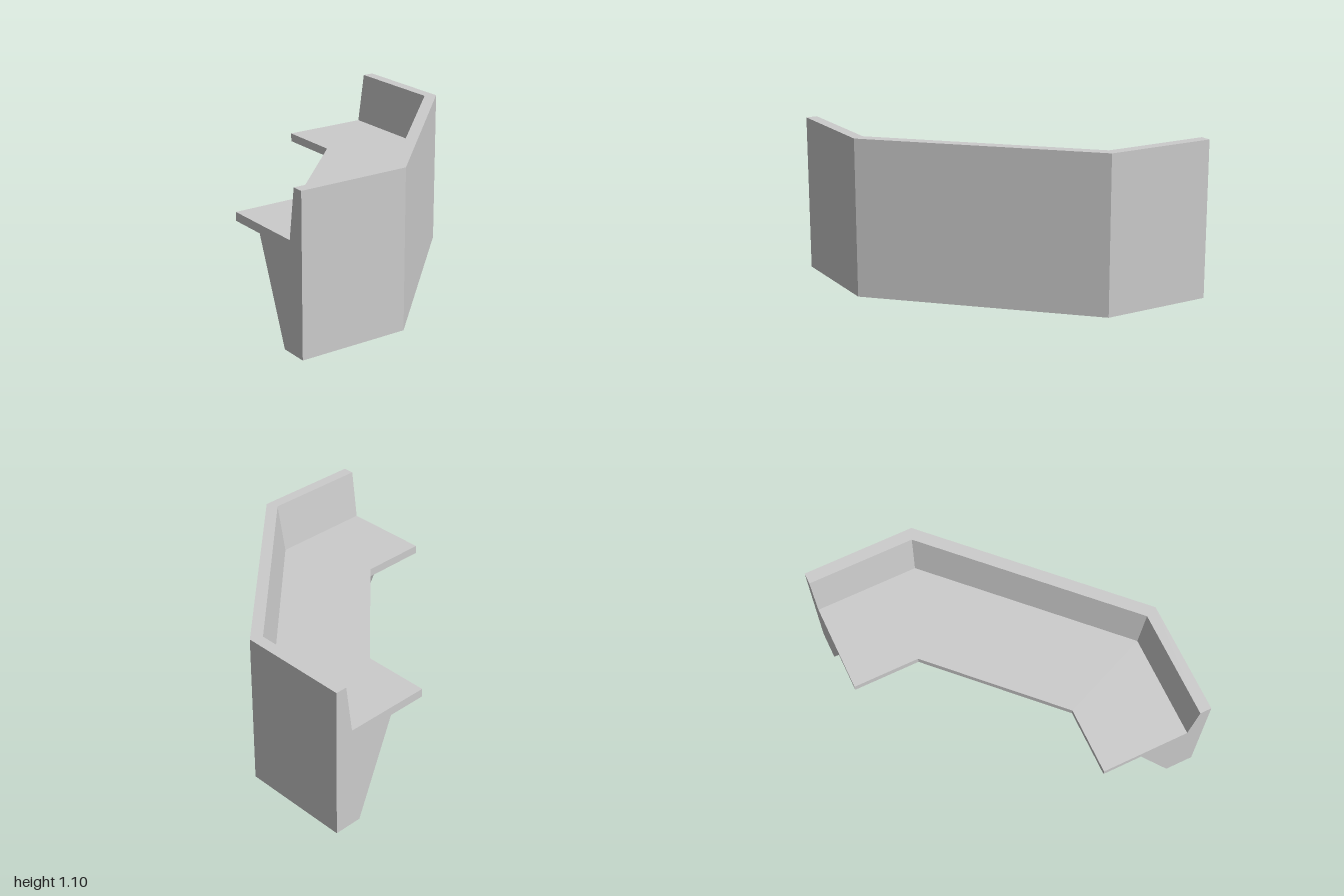
import * as THREE from 'three';

// Cross-section: [distance inward from the outer wall, height]
const PROFILE = [
  [0, 0], [0.2, 0], [0.47, 0.69], [0.75, 0.69],   // base, sloping underside, seat underside
  [0.75, 0.75], [0.13, 0.75],                     // seat edge and top
  [0.08, 1.1], [0, 1.1],                          // leaning backrest and rim
];

// Four stations along the outer wall; the two bends are mitred at 22.5 degrees
const MITRE = Math.tan(Math.PI / 8);
const BEND = -0.22;
const STATIONS = [
  (d, y) => [-1, y, 1 - d],
  (d, y) => [BEND - d * MITRE, y, 1 - d],
  (d, y) => [1 - d, y, BEND - d * MITRE],
  (d, y) => [1 - d, y, -1],
];

function sweepProfile() {
  const rings = STATIONS.map((at) => PROFILE.map(([d, y]) => at(d, y)));
  const positions = [];
  const tri = (a, b, c) => positions.push(...a, ...b, ...c);

  // Faces between neighbouring stations
  for (let s = 0; s < rings.length - 1; s++) {
    const r0 = rings[s], r1 = rings[s + 1];
    for (let i = 0; i < PROFILE.length; i++) {
      const j = (i + 1) % PROFILE.length;
      tri(r0[i], r0[j], r1[j]);
      tri(r0[i], r1[j], r1[i]);
    }
  }

  // Flat end caps
  const contour = PROFILE.map(([d, y]) => new THREE.Vector2(d, y));
  const first = rings[0], last = rings[rings.length - 1];
  for (const [a, b, c] of THREE.ShapeUtils.triangulateShape(contour, [])) {
    tri(last[a], last[b], last[c]);
    tri(first[a], first[c], first[b]);
  }

  const geometry = new THREE.BufferGeometry();
  geometry.setAttribute('position', new THREE.Float32BufferAttribute(positions, 3));
  geometry.computeVertexNormals();
  return geometry;
}

export function createModel() {
  const grey = new THREE.MeshStandardMaterial({ color: 0xcccccc });
  grey.name = 'light grey';

  const model = new THREE.Group();
  model.name = 'cornerBench';

  // Seat, backrest and base in one continuous body
  const body = new THREE.Mesh(sweepProfile(), grey);
  body.name = 'benchBody';
  model.add(body);
  return model;
}
